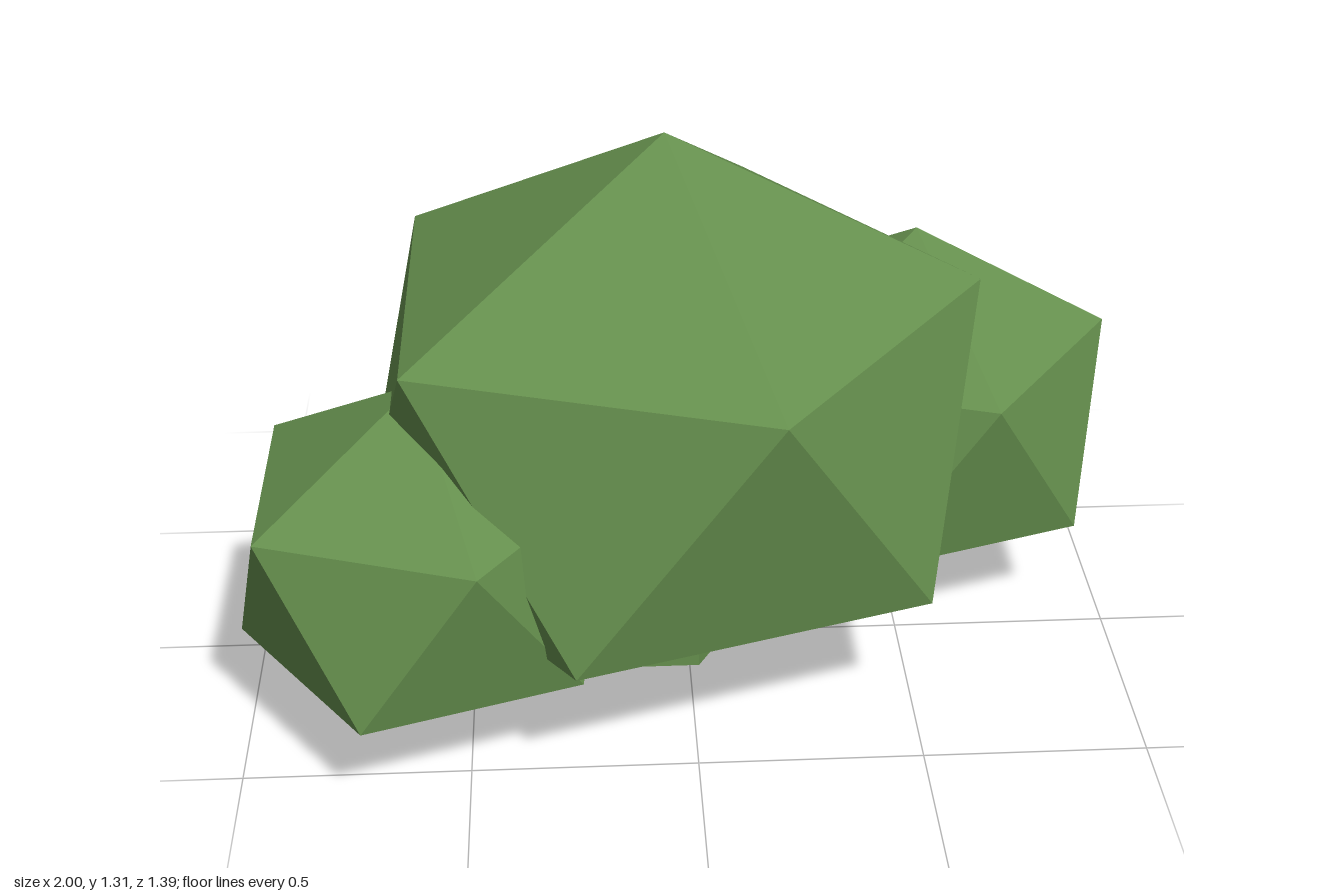
import * as THREE from 'three';

export function createModel() {
  const group = new THREE.Group();
  const leafGreen = new THREE.MeshStandardMaterial({ color: 0x66904e });
  leafGreen.name = 'leafGreen';
  leafGreen.flatShading = true;

  const add = (name, geometry, x, y, z) => {
    const mesh = new THREE.Mesh(geometry, leafGreen);
    mesh.name = name;
    mesh.position.set(x, y, z);
    group.add(mesh);
  };

  // Icosahedron standing on one corner, with an upper-ring corner towards +x
  const clump = (rx, ry, rz) => new THREE.IcosahedronGeometry(1, 0)
    .rotateZ(-Math.atan(2 / (1 + Math.sqrt(5))))
    .scale(rx, ry, rz);

  // Foliage clumps
  add('mainFoliage', clump(0.774, 0.657, 0.738), -0.05, 0.662, 0.046);
  add('leftFoliage', clump(0.508, 0.455, 0.508), 0.545, 0.48, -0.264);
  add('rightFoliage', clump(0.464, 0.419, 0.466), -0.585, 0.452, 0.302);

  // Short six-sided stem, corners on the x axis
  const stem = new THREE.CylinderGeometry(0.14, 0.14, 0.2, 6).rotateY(Math.PI / 2);
  add('stem', stem, -0.05, 0.128, 0.046);

  // Rest the lowest tip on the ground
  group.position.y = -0.005;
  return group;
}
